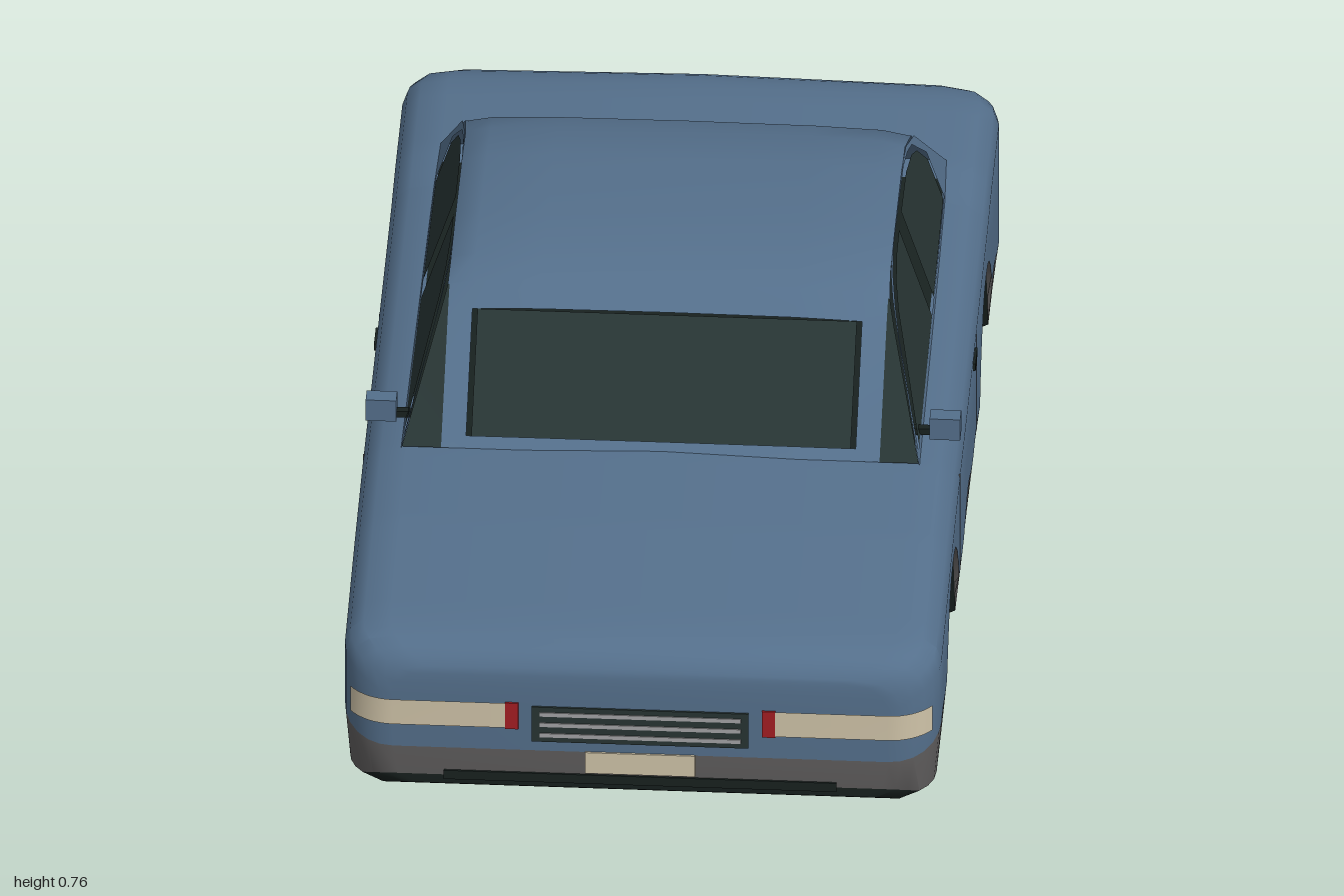
import * as THREE from 'three';
import { toCreasedNormals } from 'three/addons/utils/BufferGeometryUtils.js';

const mat = (name, color, side = THREE.FrontSide) =>
  Object.assign(new THREE.MeshStandardMaterial({ color, side }), { name });

// linear lookup in [x, y] points sorted by x
function lerpAt(pts, x) {
  if (x <= pts[0][0]) return pts[0][1];
  for (let i = 1; i < pts.length; i++) {
    const [x0, y0] = pts[i - 1], [x1, y1] = pts[i];
    if (x <= x1) return y0 + (y1 - y0) * (x - x0) / (x1 - x0);
  }
  return pts[pts.length - 1][1];
}

// collects quads by material and makes one mesh
class Patch {
  constructor() { this.faces = new Map(); }
  quad(m, a, b, c, d) {
    if (!this.faces.has(m)) this.faces.set(m, []);
    this.faces.get(m).push(...a, ...b, ...c, ...a, ...c, ...d);
  }
  mesh(name, crease = 0.6) {
    const geo = new THREE.BufferGeometry(), all = [], mats = [];
    for (const [m, f] of this.faces) {
      geo.addGroup(all.length / 3, f.length / 3, mats.length);
      mats.push(m);
      for (const v of f) all.push(v);
    }
    geo.setAttribute('position', new THREE.Float32BufferAttribute(all, 3));
    const mesh = new THREE.Mesh(toCreasedNormals(geo, crease), mats);
    mesh.name = name;
    return mesh;
  }
}

export function createModel() {
  const car = new THREE.Group();
  car.name = 'car';
  const D = THREE.DoubleSide;
  const blue = mat('bodyBlue', 0x546f8b), shellBlue = mat('cabinBlue', 0x546f8b, D);
  const grey = mat('dirtGrey', 0x5e5c5c), dark = mat('underbodyBlack', 0x18211f);
  const glass = mat('windowGlass', 0x273433, D), rubber = mat('tyreRubber', 0x222d2c);
  const silver = mat('silver', 0xa3a3a5), cream = mat('lampCream', 0xcfc3a8, D), red = mat('lampRed', 0xa31d22, D);
  const wheelZ = [0.536, -0.502], wheelR = 0.165;

  function box(name, m, w, h, d, x, y, z, parent = car) {
    const b = new THREE.Mesh(new THREE.BoxGeometry(w, h, d), m);
    b.name = name;
    b.position.set(x, y, z);
    parent.add(b);
    return b;
  }

  // ---- lower body: cross-sections along z, with the wheel tunnels cut into the underside
  const archPts = [[0, 0.365], [0.045, 0.36], [0.085, 0.345], [0.13, 0.307], [0.165, 0.26], [0.195, 0.19], [0.222, 0.11]];
  const topPts = [[-1, 0.49], [-0.985, 0.52], [-0.96, 0.54], [-0.9, 0.55], [-0.67, 0.545], [-0.55, 0.532], [-0.3, 0.525],
    [0, 0.518], [0.36, 0.51], [0.6, 0.493], [0.75, 0.475], [0.9, 0.457], [0.95, 0.445], [0.985, 0.425], [1, 0.4]];
  const corner = [0, 1, 2, 3, 4, 5, 6].map(i => i * Math.PI / 12);
  const halfWidth = z => 0.485 + Math.sqrt(Math.max(0, 0.01 - Math.max(0, Math.abs(z) - 0.9) ** 2));
  const bottom = z => Math.max(0.11 + 0.02 * Math.max(0, (Math.abs(z) - 0.97) / 0.03),
    ...wheelZ.map(c => lerpAt(archPts, Math.abs(z - c))));
  const dirt = z => 0.232 + 0.016 * Math.sin(9 * z + 1) + 0.012 * Math.sin(23 * z);

  const stations = [-0.62, 0.33];
  for (const a of corner) stations.push(0.9 + 0.1 * Math.sin(a), -0.9 - 0.1 * Math.sin(a));
  for (const c of wheelZ) for (const [d] of archPts) stations.push(c + d, c - d);
  for (let z = -0.85; z < 0.9; z += 0.05) stations.push(z);
  const zs = [...new Set(stations.map(z => +z.toFixed(4)))].sort((a, b) => a - b);

  const section = z => {
    const w = halfWidth(z), b = bottom(z), t = lerpAt(topPts, z) - 0.008;
    const g = Math.max(b + 0.022, dirt(z)), s = t - 0.06;
    return [[0, b], [w - 0.05, b], [w - 0.01, b + 0.02], [w, g], [w, (g + s) / 2], [w, s], [w - 0.01, t - 0.03],
      [w - 0.037, t - 0.009], [w - 0.09, t], [0, t + 0.008]].map(([x, y]) => [x, y, z]);
  };
  const flip = ([x, y, z]) => [-x, y, z];
  const rowMat = i => (i < 2 ? dark : i === 2 ? grey : blue);
  const body = new Patch();
  const loops = zs.map(section);
  for (let k = 0; k + 1 < loops.length; k++) {
    const p = loops[k], q = loops[k + 1], inCabin = zs[k] >= -0.621 && zs[k + 1] <= 0.331;
    for (let i = 0; i < 9; i++) {
      const m = i === 8 && inCabin ? dark : rowMat(i);
      body.quad(m, p[i], p[i + 1], q[i + 1], q[i]);
      body.quad(m, ...[q[i], q[i + 1], p[i + 1], p[i]].map(flip));
    }
  }
  // flat nose and tail
  const tail = loops[0], nose = loops[loops.length - 1];
  for (let i = 0; i < 9; i++) {
    body.quad(rowMat(i), flip(nose[i]), nose[i], nose[i + 1], flip(nose[i + 1]));
    body.quad(rowMat(i), tail[i], flip(tail[i]), flip(tail[i + 1]), tail[i + 1]);
  }
  car.add(body.mesh('body'));

  // ---- roof shell with windscreen and rear window openings
  const roofLine = [[0.37, 0.505], [0.35, 0.522], [0.15, 0.695], [0.1, 0.73], [0.04, 0.754], [-0.1, 0.765], [-0.3, 0.765],
    [-0.42, 0.752], [-0.51, 0.718], [-0.665, 0.555], [-0.685, 0.535]];
  const sideX = y => 0.505 - 0.075 * (Math.min(y, 0.74) - 0.51) / 0.23;
  const dropAt = (y, d) => y - d * (y - 0.5) / 0.265;
  const cols = [[0, 0], [0.25, 0.002], [0.382, 0.008], [0.43, 0.02], [null, 0.021]];
  const shell = new Patch();
  const roofPt = ([z, y], [x, d]) => [x ?? Math.max(0.431, sideX(y)), dropAt(y, d), z];
  for (let k = 0; k + 1 < roofLine.length; k++) {
    const window = k === 1 || k === 8;
    for (let j = 0; j + 1 < cols.length; j++) {
      if (window && j < 2) continue;
      const m = k < 3 && j === 3 ? glass : shellBlue;
      const f = [roofPt(roofLine[k], cols[j]), roofPt(roofLine[k], cols[j + 1]),
        roofPt(roofLine[k + 1], cols[j + 1]), roofPt(roofLine[k + 1], cols[j])];
      shell.quad(m, ...f);
      shell.quad(m, ...f.reverse().map(flip));
    }
  }
  car.add(shell.mesh('roofShell'));

  // windscreen and rear window panes, narrower than their openings
  for (const [name, k] of [['windscreen', 1], ['rearWindow', 8]]) {
    const pane = new Patch(), [a, b] = [roofLine[k], roofLine[k + 1]];
    const pt = (x, [z, y]) => [x, y - 0.006, z];
    pane.quad(glass, pt(-0.372, a), pt(0.372, a), pt(0.372, b), pt(-0.372, b));
    car.add(pane.mesh(name));
  }

  // ---- leaning side frames and side windows, drawn in (z, y)
  const shape = pts => new THREE.Shape(pts.map(p => new THREE.Vector2(...p)));
  const frame = shape([...roofLine.map(([z, y]) => [z, dropAt(y, 0.02)]), [-0.685, 0.525], [0.37, 0.498]]);
  frame.holes.push(shape([[0.335, 0.512], [0.16, 0.663], [0.1, 0.697], [0.03, 0.724], [-0.06, 0.736], [-0.35, 0.733],
    [-0.42, 0.722], [-0.47, 0.706], [-0.555, 0.635], [-0.56, 0.53]]));
  const frontPane = shape([[0.315, 0.512], [0.145, 0.638], [0.09, 0.68], [0.03, 0.705], [-0.05, 0.718], [-0.14, 0.72], [-0.14, 0.522]]);
  const rearPane = shape([[-0.205, 0.524], [-0.205, 0.72], [-0.35, 0.718], [-0.44, 0.702], [-0.49, 0.68], [-0.545, 0.625], [-0.548, 0.532]]);
  function sidePlate(name, s, m, side) {
    const g = new THREE.ShapeGeometry(s), p = g.attributes.position;
    for (let i = 0; i < p.count; i++) {
      const z = p.getX(i), y = p.getY(i);
      p.setXYZ(i, side * sideX(y), y, z);
    }
    g.computeVertexNormals();
    // the shape faces -x after the swap, so turn the left-hand copy around
    if (side > 0) {
      const idx = g.index.array;
      for (let i = 0; i < idx.length; i += 3) [idx[i], idx[i + 1]] = [idx[i + 1], idx[i]];
      g.computeVertexNormals();
    }
    const mesh = new THREE.Mesh(g, m);
    mesh.name = name;
    car.add(mesh);
  }

  // ---- lamps wrapped around the body corners
  function lamp(name, m, side, end, x0, stop, y0, y1) {
    const path = [[x0, 1.003]], strip = new Patch();
    for (let i = 0; i <= 8; i++) {
      const a = Math.PI / 2 + (stop - Math.PI / 2) * i / 8;
      path.push([0.485 + 0.104 * Math.cos(a), 0.9 + 0.103 * Math.sin(a)]);
    }
    for (let i = 0; i + 1 < path.length; i++) {
      const at = ([x, z], y) => [side * x, y, end * z];
      const f = [at(path[i], y0), at(path[i + 1], y0), at(path[i + 1], y1), at(path[i], y1)];
      strip.quad(m, ...(side * end > 0 ? f : f.reverse()));
    }
    car.add(strip.mesh(name));
  }

  // ---- wheels: hollow tyre with a five-spoke rim
  const tyre = toCreasedNormals(new THREE.LatheGeometry([[0.122, -0.076], [0.152, -0.076], [0.162, -0.068], [wheelR, -0.055],
    [wheelR, 0.055], [0.162, 0.068], [0.152, 0.076], [0.122, 0.076], [0.122, -0.076]].map(p => new THREE.Vector2(...p)), 28), 0.5);
  function wheel(side, z) {
    const g = new THREE.Group();
    g.name = 'wheel';
    g.position.set(side * 0.483, wheelR, z);
    const t = new THREE.Mesh(tyre, rubber);
    t.name = 'tyre';
    t.rotation.z = Math.PI / 2;
    g.add(t);
    const hub = new THREE.Mesh(new THREE.CylinderGeometry(0.024, 0.024, 0.02, 16), silver);
    hub.name = 'hub';
    hub.rotation.z = Math.PI / 2;
    hub.position.x = side * 0.058;
    g.add(hub);
    for (let i = 0; i < 5; i++) {
      const arm = new THREE.Group();
      arm.name = 'spoke';
      arm.rotation.x = i * Math.PI * 2 / 5;
      box('spokeBar', silver, 0.016, 0.112, 0.022, side * 0.058, 0.068, 0, arm);
      g.add(arm);
    }
    car.add(g);
  }

  for (const s of [1, -1]) {
    sidePlate('sideFrame', frame, shellBlue, s);
    sidePlate('frontSideWindow', frontPane, glass, s);
    sidePlate('rearSideWindow', rearPane, glass, s);
    lamp('headlamp', cream, s, 1, 0.265, 0.6, 0.265, 0.322);
    lamp('tailLamp', red, s, -1, 0.33, 0.45, 0.39, 0.458);
    box('indicator', red, 0.026, 0.06, 0.008, s * 0.252, 0.293, 1);
    for (const z of wheelZ) wheel(s, z);
    // door mirror, handle and seams
    box('mirrorHousing', blue, 0.06, 0.048, 0.035, s * 0.553, 0.531, 0.268);
    box('mirrorArm', dark, 0.05, 0.014, 0.016, s * 0.505, 0.518, 0.268);
    box('doorHandle', dark, 0.012, 0.016, 0.06, s * 0.584, 0.438, -0.118);
    for (const z of [0.32, -0.19]) box('doorSeam', grey, 0.004, 0.22, 0.004, s * 0.584, 0.34, z);
  }

  // ---- grille, number plates and bumper slots
  box('grille', glass, 0.425, 0.08, 0.008, 0, 0.276, 1);
  for (const y of [0.252, 0.276, 0.3]) box('grilleBar', silver, 0.395, 0.009, 0.006, 0, y, 1.003);
  box('frontPlate', cream, 0.216, 0.048, 0.008, 0, 0.19, 1);
  box('rearPlate', cream, 0.23, 0.055, 0.008, 0, 0.292, -1);
  box('frontBumperSlot', dark, 0.77, 0.02, 0.008, 0, 0.152, 1);
  box('rearBumperSlot', dark, 0.95, 0.045, 0.008, 0, 0.15, -1);
  return car;
}
